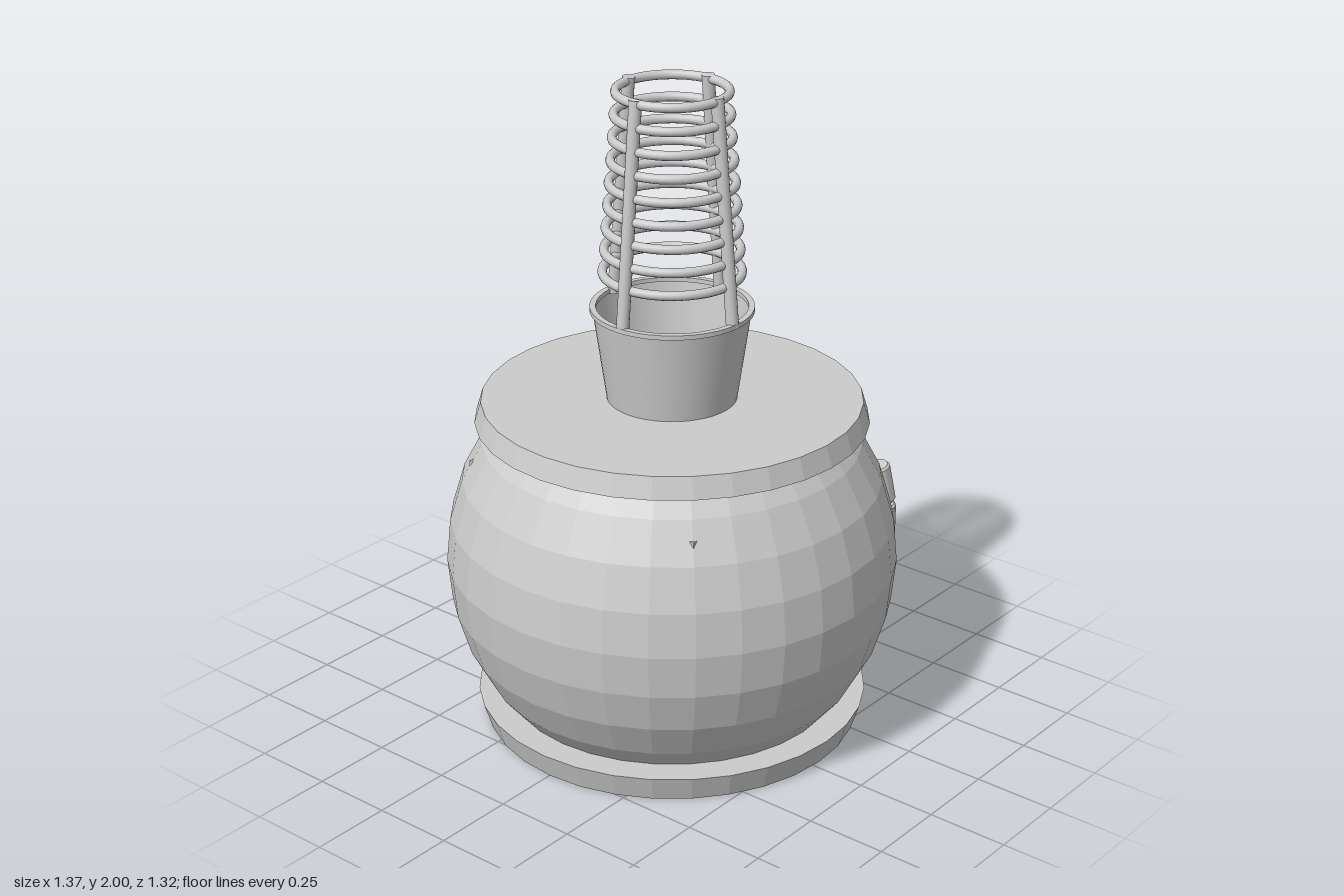
import * as THREE from 'three';

export function createModel() {
  const model = new THREE.Group();
  const root = new THREE.Group();
  root.name = 'stove';
  root.position.z = -0.03;
  model.add(root);

  const flat = new THREE.MeshStandardMaterial({ color: 0xcccccc, flatShading: true, side: THREE.DoubleSide });
  const smooth = new THREE.MeshStandardMaterial({ color: 0xcccccc, side: THREE.DoubleSide });
  const add = (name, geometry, material, parent = root) => {
    const mesh = new THREE.Mesh(geometry, material);
    mesh.name = name;
    parent.add(mesh);
    return mesh;
  };

  // Round body: faceted sphere bands, with a door opening at the back
  const R = 0.685, MID = 0.53, STEP = Math.PI / 16;
  const body = new THREE.Group();
  body.name = 'body';
  body.position.y = MID;
  root.add(body);
  const band = (name, firstRow, rows, gap) => add(name, new THREE.SphereGeometry(
    R, 32 - gap, rows,
    1.5 * Math.PI + gap / 2 * STEP, (32 - gap) * STEP,
    firstRow * STEP, rows * STEP), flat, body);
  band('upperBody', 4, 2, 0);
  band('middleBody', 6, 4, 6);
  band('lowerBody', 10, 2, 0);

  // Foot and lid bands
  add('foot', new THREE.CylinderGeometry(0.6, 0.575, 0.08, 32), flat).position.y = 0.04;
  add('lid', new THREE.CylinderGeometry(0.57, 0.59, 0.065, 32), flat).position.y = 1.0125;

  // Firebox: box lining without its back (-z) face
  const lining = new THREE.BoxGeometry(0.86, 0.63, 0.84);
  lining.setIndex(Array.from(lining.index.array).slice(0, 30));
  lining.clearGroups();
  add('firebox', lining, flat).position.set(0, 0.542, 0.01);
  add('hearthSlab', new THREE.BoxGeometry(0.38, 0.03, 0.62), flat).position.set(0, 0.242, 0);

  // Hinge: three knuckles following the curve beside the opening
  const hinge = new THREE.Group();
  hinge.name = 'hinge';
  hinge.position.y = MID;
  hinge.rotation.y = Math.PI - 3 * STEP;
  root.add(hinge);
  for (let i = -1; i <= 1; i++) {
    const a = i * STEP, r = 0.043, h = 0.064;
    const profile = [[0, -h], [r - 0.006, -h], [r, -h + 0.007], [r, h - 0.007], [r - 0.006, h], [0, h]]
      .map(([x, y]) => new THREE.Vector2(x, y));
    const knuckle = add('hingeKnuckle', new THREE.LatheGeometry(profile, 16), flat, hinge);
    knuckle.position.set(0, R * Math.sin(a), R * Math.cos(a));
    knuckle.rotation.x = -a;
  }

  // Chimney pot with a thin lip
  add('chimneyPot', new THREE.CylinderGeometry(0.235, 0.195, 0.28, 48, 1, true), smooth).position.y = 1.185;
  const lip = [[0.225, 1.32], [0.243, 1.32], [0.243, 1.334], [0.225, 1.334], [0.225, 1.32]]
    .map(([x, y]) => new THREE.Vector2(x, y));
  add('chimneyLip', new THREE.LatheGeometry(lip, 48), flat);

  // Tapered cage: four leaning posts and nine rings
  const cage = new THREE.Group();
  cage.name = 'chimneyCage';
  root.add(cage);
  for (let i = 0; i < 4; i++) {
    const holder = new THREE.Group();
    holder.name = 'cagePost';
    holder.rotation.y = i * Math.PI / 2;
    cage.add(holder);
    const lean = Math.atan2(0.063, 0.68);
    const post = add('post', new THREE.CylinderGeometry(0.019, 0.019, 0.68, 16), smooth, holder);
    post.position.set(0.194, 1.658, 0);
    post.rotation.z = lean;
  }
  for (let i = 0; i < 9; i++) {
    const ring = add('cageRing', new THREE.TorusGeometry(0.163 + i * 0.0052, 0.014, 10, 48), smooth, cage);
    ring.rotation.x = Math.PI / 2;
    ring.position.y = 1.985 - i * 0.068;
  }

  return model;
}
